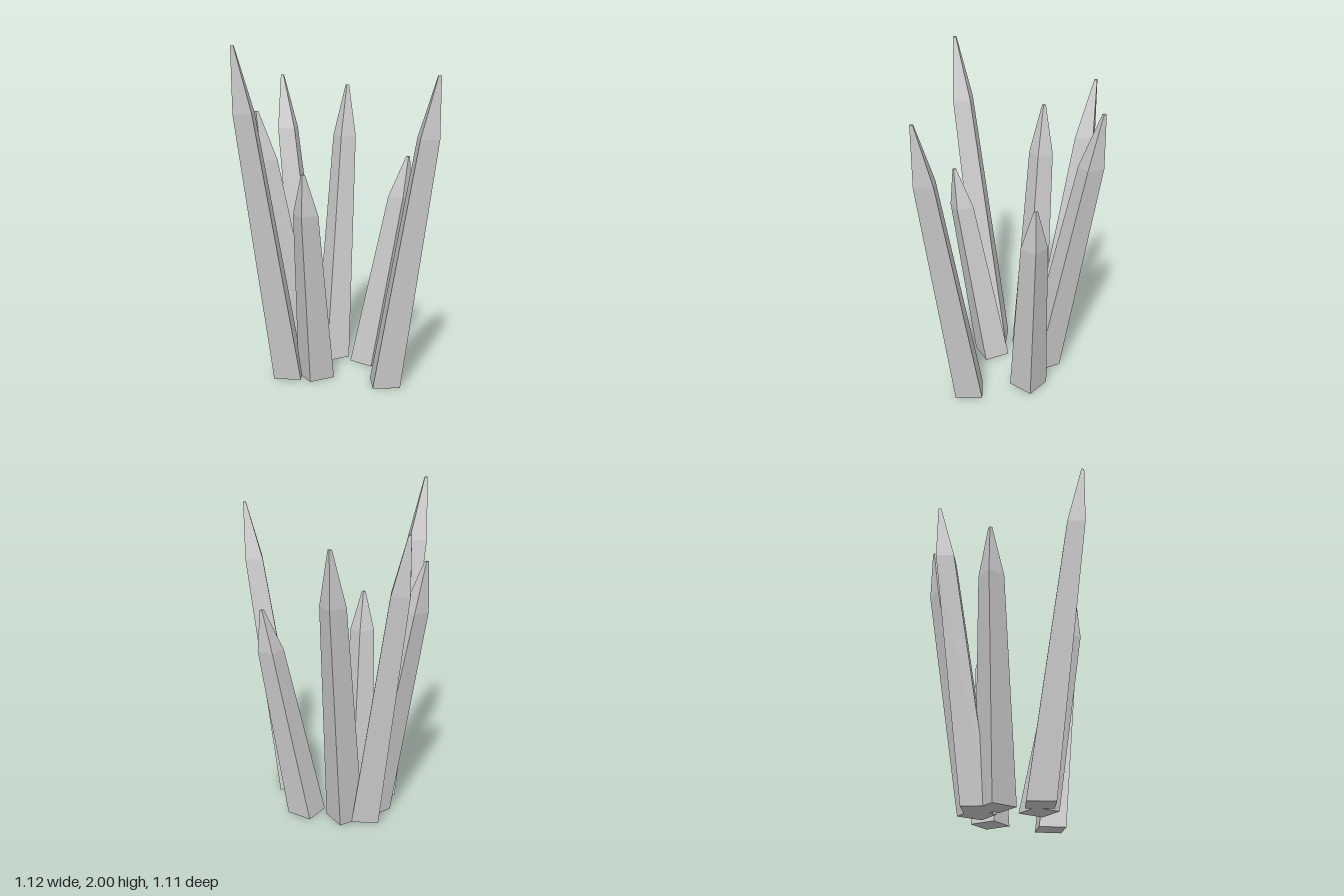
import * as THREE from 'three';

// Each crystal: base centre [x, z], tip centre [x, z], height
const CRYSTALS = [
  ['frontLeftwardTallCrystal', -0.2375, 0.0625, -0.55, 0.265, 2.0],
  ['frontCornerCrystal', 0.3225, 0.2775, 0.537, 0.541, 1.845],
  ['backCrystalA', -0.052, -0.247, -0.203, -0.545, 1.81],
  ['backCrystalB', 0.0765, -0.22, 0.218, -0.51, 1.745],
  ['sideCrystalA', -0.115, -0.155, -0.391, -0.268, 1.6],
  ['sideCrystalB', 0.292, -0.097, 0.53, -0.092, 1.325],
  ['shortFrontCrystal', -0.0725, 0.0985, -0.172, 0.308, 1.29],
];

const BASE = 0.115, SHOULDER = 0.076, TIP = 0.012; // half diagonals
const SHOULDER_AT = 0.814; // fraction of the height

// Four-sided tapering shaft with a pointed top, sheared along its lean;
// one edge of the shaft faces the leaning direction
function crystalGeometry(bx, bz, tx, tz, height) {
  const dx = tx - bx, dz = tz - bz;
  const profile = [
    [0, 0], [BASE, 0], [SHOULDER, SHOULDER_AT * height], [TIP, height], [0, height],
  ].map(([r, y]) => new THREE.Vector2(r, y));
  const geometry = new THREE.LatheGeometry(profile, 4, Math.atan2(dx, dz)).toNonIndexed();
  const p = geometry.attributes.position;
  for (let i = 0; i < p.count; i++) {
    const t = p.getY(i) / height;
    p.setX(i, p.getX(i) + dx * t);
    p.setZ(i, p.getZ(i) + dz * t);
  }
  geometry.computeVertexNormals();
  return geometry;
}

export function createModel() {
  const group = new THREE.Group();
  group.name = 'crystalCluster';
  const material = new THREE.MeshStandardMaterial({ color: 0xcccccc });
  material.name = 'pale grey crystal';

  for (const [name, bx, bz, tx, tz, height] of CRYSTALS) {
    const crystal = new THREE.Mesh(crystalGeometry(bx, bz, tx, tz, height), material);
    crystal.name = name;
    crystal.position.set(bx, 0, bz);
    group.add(crystal);
  }
  return group;
}
